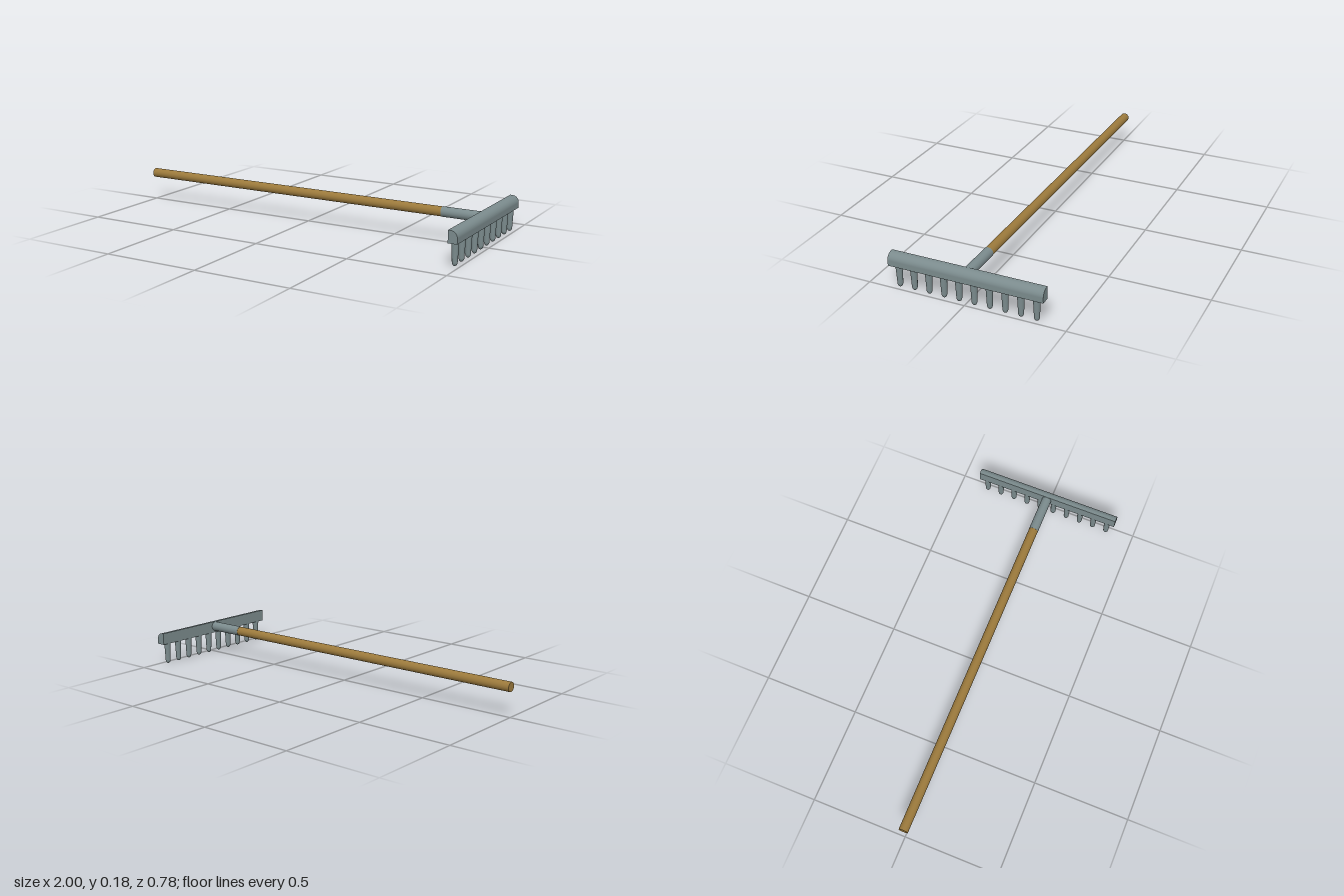
import * as THREE from 'three';

const AXIS_Y = 0.149; // height of the handle's axis

export function createModel() {
  const rake = new THREE.Group();
  rake.name = 'rake';

  const wood = new THREE.MeshStandardMaterial({ color: 0x9c7a3c });
  wood.name = 'wood';
  const metal = new THREE.MeshStandardMaterial({ color: 0x7b8b8d });
  metal.name = 'grey metal';

  const add = (name, geometry, material) => {
    const mesh = new THREE.Mesh(geometry, material);
    mesh.name = name;
    rake.add(mesh);
    return mesh;
  };

  // Round bar lying along x
  const rod = (name, x0, x1, radius, material) => {
    const g = new THREE.CylinderGeometry(radius, radius, x1 - x0, 24);
    g.rotateZ(-Math.PI / 2);
    add(name, g, material).position.set((x0 + x1) / 2, AXIS_Y, 0);
  };
  rod('handle', -1, 0.76, 0.0245, wood);
  rod('ferrule', 0.755, 0.965, 0.0255, metal);

  // Head bar: square at the back, rounded over at the top outer edge
  const profile = new THREE.Shape();
  profile.moveTo(0.954, 0.114);
  profile.lineTo(1, 0.114);
  profile.lineTo(1, 0.141);
  profile.absarc(0.965, 0.141, 0.035, 0, Math.PI / 2, false);
  profile.lineTo(0.954, 0.176);
  profile.closePath();
  const length = 0.784;
  const head = new THREE.ExtrudeGeometry(profile, { depth: length, bevelEnabled: false, curveSegments: 16 });
  head.translate(0, 0, -length / 2);
  add('headBar', head, metal);

  // Ten tapered teeth with rounded tips
  const tipR = 0.0135, tipH = 0.02;
  const points = [];
  for (let i = 0; i <= 8; i++) {
    const a = (i / 8) * Math.PI / 2;
    points.push(new THREE.Vector2(tipR * Math.sin(a), tipH * (1 - Math.cos(a))));
  }
  points.push(new THREE.Vector2(0.0175, 0.118));
  const tooth = new THREE.LatheGeometry(points, 20);
  const count = 10, spacing = 0.0775;
  for (let i = 0; i < count; i++) {
    add('tooth' + (i + 1), tooth, metal).position.set(0.973, 0, (i - (count - 1) / 2) * spacing);
  }

  return rake;
}
